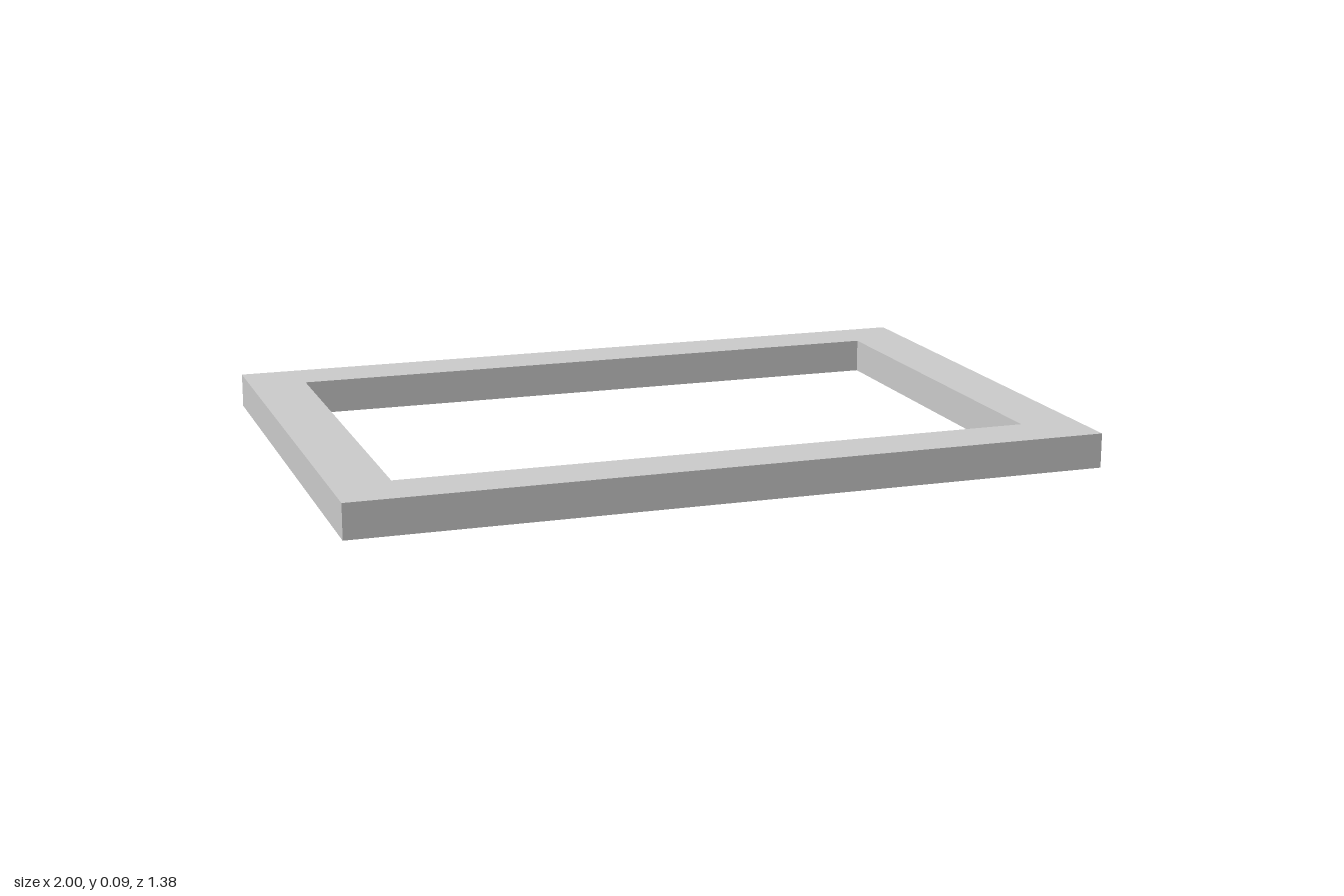
import * as THREE from 'three';

const WIDTH = 2, DEPTH = 1.385, HEIGHT = 0.092, BORDER = 0.154;

// Corners of a centred rectangle
function rectangle(w, d) {
  return [[-1, -1], [1, -1], [1, 1], [-1, 1]].map(
    ([x, y]) => new THREE.Vector2(x * w / 2, y * d / 2));
}

export function createModel() {
  const group = new THREE.Group();
  group.name = 'rectangularFrame';

  // Flat outline with a rectangular opening
  const outline = new THREE.Shape(rectangle(WIDTH, DEPTH));
  outline.holes.push(new THREE.Path(
    rectangle(WIDTH - 2 * BORDER, DEPTH - 2 * BORDER).reverse()));

  // Extruded upward from the ground
  const geometry = new THREE.ExtrudeGeometry(outline, { depth: HEIGHT, bevelEnabled: false });
  geometry.rotateX(-Math.PI / 2);

  const frame = new THREE.Mesh(geometry,
    new THREE.MeshStandardMaterial({ color: 0xcccccc, flatShading: true }));
  frame.name = 'frame';
  group.add(frame);
  return group;
}
